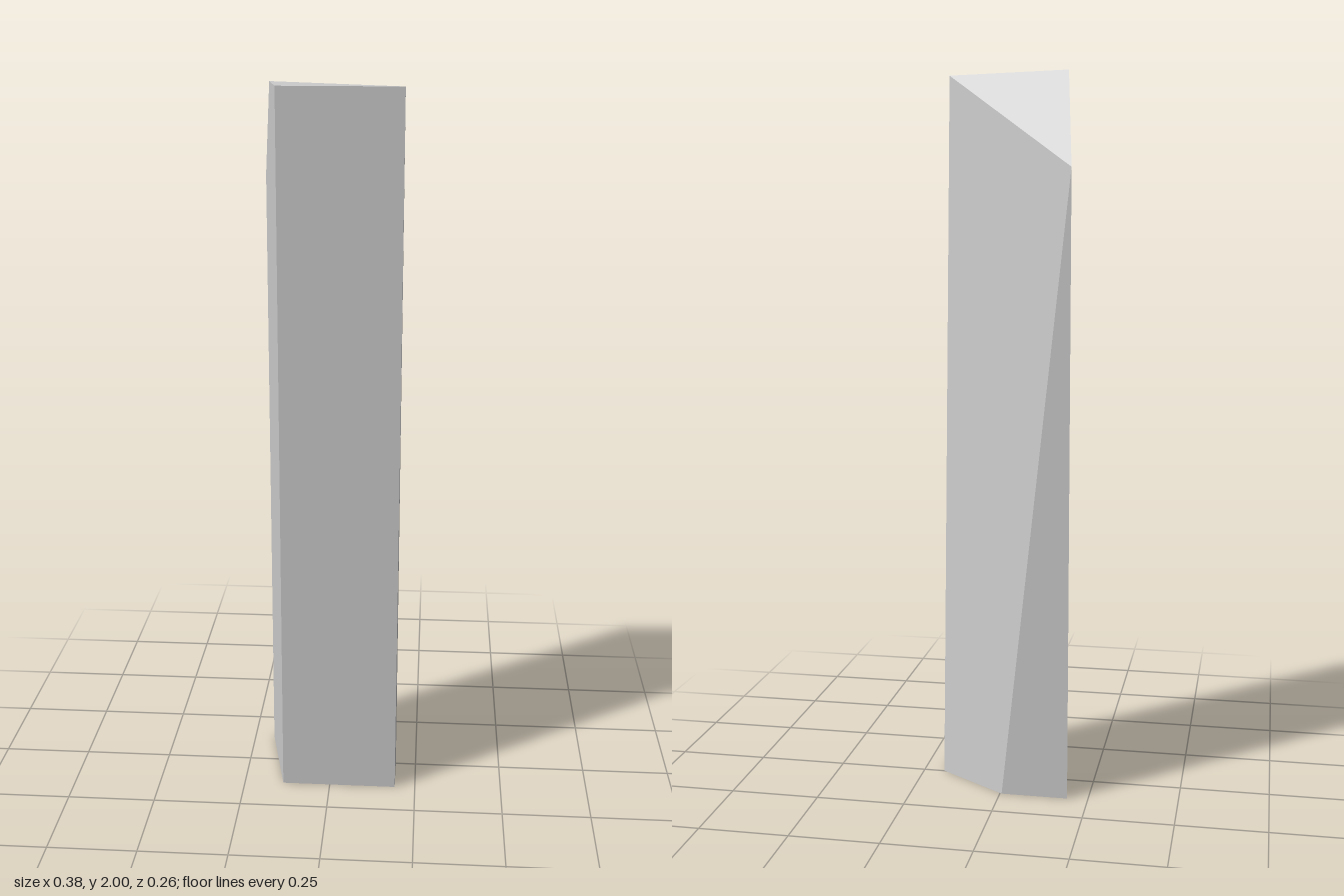
import * as THREE from 'three';
import { ConvexGeometry } from 'three/addons/geometries/ConvexGeometry.js';

export function createModel() {
  const group = new THREE.Group();
  group.name = 'stoneShard';

  // Five-sided base outline (x, z)
  const base = [[-0.137, 0.131], [0.191, 0.131], [0.191, 0], [-0.005, -0.131], [-0.192, -0.131]];
  const corners = base.map(([x, z]) => new THREE.Vector3(x, 0, z));

  // Flat triangular tip, then the lower back shoulder
  corners.push(
    new THREE.Vector3(-0.137, 2, 0.131),
    new THREE.Vector3(0.191, 2, 0.131),
    new THREE.Vector3(-0.166, 2, -0.008),
    new THREE.Vector3(-0.192, 1.743, -0.131)
  );

  // The faceted body is the convex solid spanned by these corners
  const shard = new THREE.Mesh(
    new ConvexGeometry(corners),
    new THREE.MeshStandardMaterial({ color: 0xcccccc, flatShading: true })
  );
  shard.name = 'shardBody';
  group.add(shard);
  return group;
}
